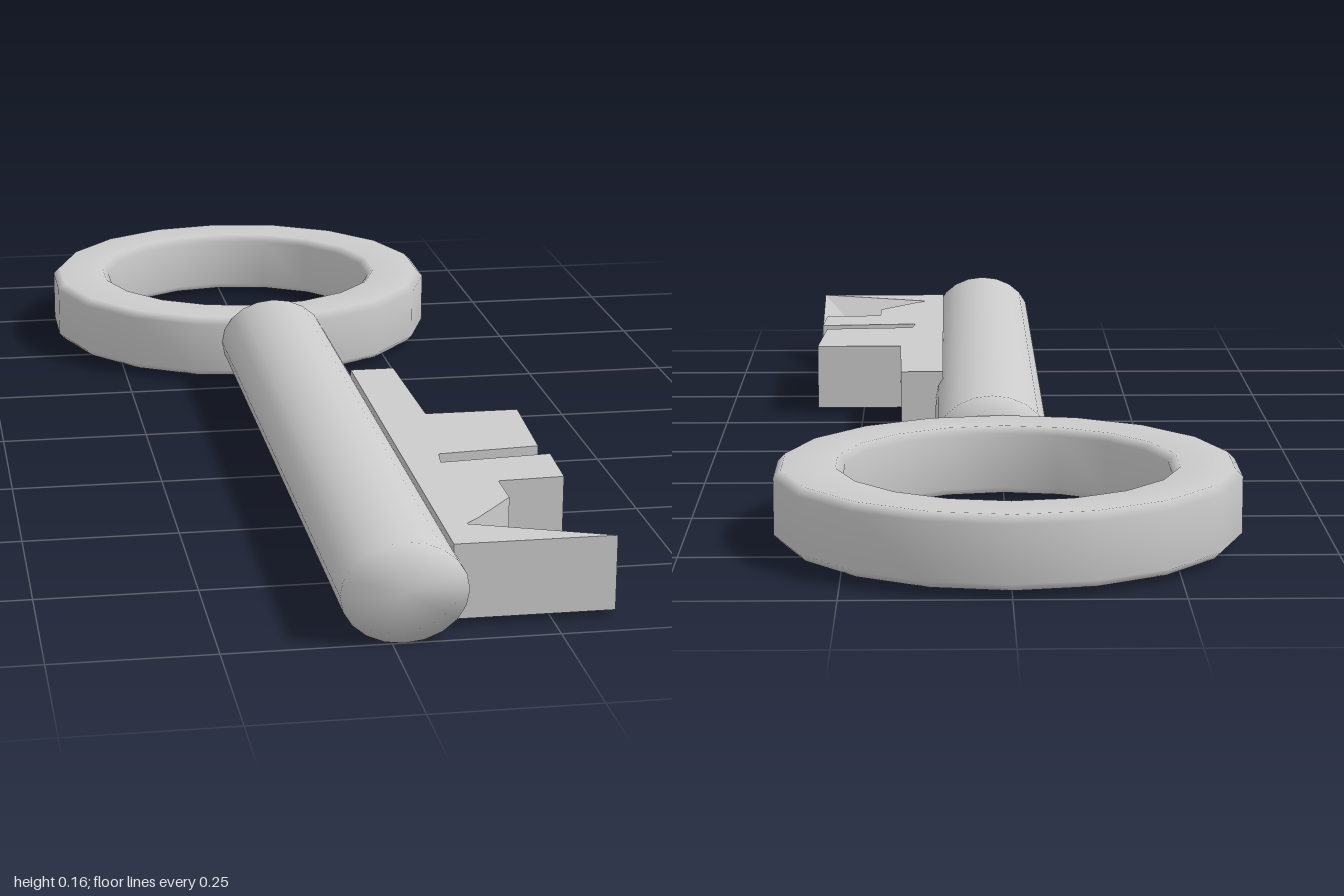
import * as THREE from 'three';
import { mergeVertices } from 'three/addons/utils/BufferGeometryUtils.js';

const grey = new THREE.MeshStandardMaterial({ color: 0xcccccc });

function part(name, geometry, parent) {
  const mesh = new THREE.Mesh(geometry, grey);
  mesh.name = name;
  parent.add(mesh);
  return mesh;
}

// Upright slab from an outline of [x, z] points
function slab(outline, y0, y1) {
  const shape = new THREE.Shape(outline.map(([x, z]) => new THREE.Vector2(x, -z)));
  const geometry = new THREE.ExtrudeGeometry(shape, { depth: y1 - y0, bevelEnabled: false });
  geometry.rotateX(-Math.PI / 2);
  geometry.translate(0, y0, 0);
  return geometry;
}

export function createModel() {
  const key = new THREE.Group();
  key.name = 'key';

  // Ring handle: flat-walled band with softened edges
  const inner = 0.255, outer = 0.363, low = 0.01, high = 0.122, b = 0.012;
  const profile = [
    [inner + b, low], [outer - b, low], [outer, low + b], [outer, high - b],
    [outer - b, high], [inner + b, high], [inner, high - b], [inner, low + b], [inner + b, low],
  ].map(([r, y]) => new THREE.Vector2(r, y));
  part('ringHandle', new THREE.LatheGeometry(profile, 18), key).position.z = -0.637;

  // Shaft: oval rod, normals blended over the ends
  let rod = new THREE.CylinderGeometry(1, 1, 1.285, 20);
  rod.rotateX(Math.PI / 2);
  rod.scale(0.095, 0.0775, 1);
  rod.deleteAttribute('normal');
  rod.deleteAttribute('uv');
  rod = mergeVertices(rod);
  rod.computeVertexNormals();
  part('shaft', rod, key).position.set(0.018, 0.0775, 0.3575);

  // Bit: web along the shaft with two square teeth
  const bit = new THREE.Group();
  bit.name = 'bit';
  key.add(bit);
  part('webAndTeeth', slab([
    [0.1, 0.08], [0.175, 0.08], [0.18, 0.34], [0.335, 0.34], [0.325, 0.53],
    [0.16, 0.545], [0.155, 0.585], [0.335, 0.57], [0.33, 0.68], [0.225, 0.685],
    [0.225, 0.76], [0.16, 0.84], [0.1, 0.9],
  ], 0.01, 0.127), bit);

  // End tooth: wedge, its top falling away from the front edge
  const wedge = slab([[0.1, 0.945], [0.1, 0.85], [0.22, 0.775], [0.35, 0.775], [0.345, 0.945]], 0.01, 0.127);
  const p = wedge.attributes.position;
  for (let i = 0; i < p.count; i++) {
    if (p.getY(i) > 0.1 && p.getX(i) > 0.2 && p.getZ(i) < 0.9) p.setY(i, 0.02);
  }
  wedge.computeVertexNormals();
  part('endTooth', wedge, bit);

  return key;
}
